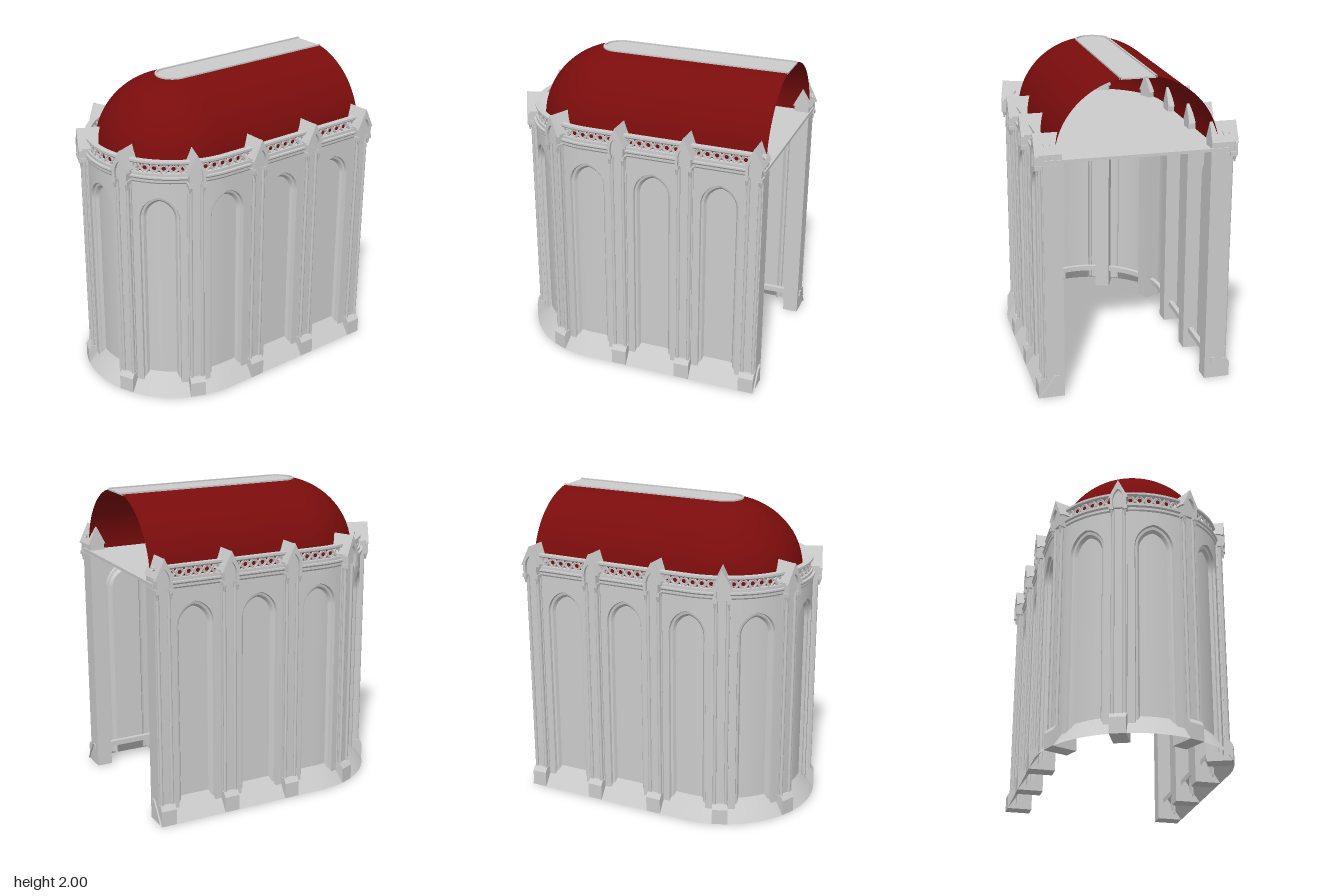
import * as THREE from 'three';
import { mergeGeometries } from 'three/addons/utils/BufferGeometryUtils.js';

const R = 0.56;               // radius of the U-shaped plan line
const ZC = 0.27;              // centre of the rounded end
const BAY = R * Math.PI / 4;  // bay length along the plan line
const END = 4.5 * BAY + 0.05;
const stone = new THREE.MeshStandardMaterial({ color: 0xcccccc, side: THREE.DoubleSide });
const red = new THREE.MeshStandardMaterial({ color: 0x7a0c0c, side: THREE.DoubleSide });

// Point at distance s along the plan, offset r from its axis, height y
function plan(s, r, y) {
  const a = s / R;
  if (Math.abs(a) <= Math.PI / 2) return new THREE.Vector3(Math.sin(a) * r, y, ZC + Math.cos(a) * r);
  return new THREE.Vector3(Math.sign(s) * r, y, ZC - (Math.abs(s) - R * Math.PI / 2));
}

// Smooth sheet of nu x nv cells
function grid(nu, nv, f) {
  const pos = [], index = [];
  for (let i = 0; i <= nu; i++) for (let j = 0; j <= nv; j++) pos.push(...f(i, j).toArray());
  for (let i = 0; i < nu; i++) for (let j = 0; j < nv; j++) {
    const a = i * (nv + 1) + j, b = a + nv + 1;
    index.push(a, b, b + 1, a, b + 1, a + 1);
  }
  const g = new THREE.BufferGeometry();
  g.setAttribute('position', new THREE.Float32BufferAttribute(pos, 3));
  g.setIndex(index);
  g.computeVertexNormals();
  return g;
}

// Sweep an [r, y] profile round the plan, sharp at each profile corner
function sweep(profile, end = END) {
  const n = 96;
  return mergeGeometries(profile.slice(1).map((q, k) => grid(n, 1, (i, j) => {
    const [r, y] = j ? q : profile[k];
    return plan(end * (2 * i / n - 1), r, y);
  })));
}

function add(group, name, geometry, material = stone) {
  const mesh = new THREE.Mesh(geometry, material);
  mesh.name = name;
  group.add(mesh);
  return mesh;
}

// Pointed arch height at s for half width w and apex height top
function archY(s, w, top) {
  const rad = 1.25 * w, h = x => Math.sqrt(Math.max(0, rad * rad - (x + rad - w) ** 2));
  return top - h(0) + h(Math.abs(s));
}
const ARCH = 24;
function outline(i, w, top) {
  if (i === 0 || i === ARCH + 2) return [i ? w : -w, 0.04];
  const s = -w * Math.cos(Math.PI * (i - 1) / ARCH);
  return [s, archY(s, w, top)];
}

const WALL = 0.565, WALL_TOP = 1.53;
function windowBay(c) {
  const g = new THREE.Group();
  g.name = 'windowBay';
  const w = 0.125, top = 1.4, half = BAY / 2;
  const side = k => grid(4, 1, (i, j) => plan(c + k * (w + (half - w) * i / 4), WALL, j ? WALL_TOP : 0.03));
  const above = grid(ARCH, 1, (i, j) => {
    const [s, y] = outline(i + 1, w, top);
    return plan(c + s, WALL, j ? WALL_TOP : y);
  });
  add(g, 'wall', mergeGeometries([side(1), side(-1), above]));
  // stepped and splayed surround: half width, apex, radius
  const bands = [[w, top, WALL], [0.121, 1.395, 0.549], [0.108, 1.377, 0.545], [0.096, 1.36, 0.525]];
  add(g, 'windowSurround', mergeGeometries(bands.slice(1).map((b, k) => grid(ARCH + 2, 1, (i, j) => {
    const [bw, bt, r] = j ? b : bands[k];
    const [s, y] = outline(i, bw, bt);
    return plan(c + s, r, y);
  }))));
  add(g, 'windowPane', grid(ARCH, 1, (i, j) => {
    const [s, y] = outline(i + 1, 0.096, 1.36);
    return plan(c + s, 0.525, j ? y : 0.1);
  }));
  // interlaced balustrade tracery
  const waves = [1, -1].map(k => {
    const pts = [];
    for (let i = 0; i <= 48; i++) {
      const t = i / 48;
      pts.push(plan(c + (t - 0.5) * 0.36, 0.545, 1.581 + k * 0.029 * Math.sin(t * Math.PI * 6)));
    }
    return new THREE.TubeGeometry(new THREE.CatmullRomCurve3(pts), 72, 0.007, 5);
  });
  add(g, 'balustradeTracery', mergeGeometries(waves));
  for (let k = -3; k < 3; k++) {
    const ring = add(g, 'balustradeRing', new THREE.TorusGeometry(0.017, 0.004, 4, 12));
    const s = c + (k + 0.5) * 0.06;
    ring.position.copy(plan(s, 0.545, 1.581));
    ring.rotation.y = THREE.MathUtils.clamp(s / R, -Math.PI / 2, Math.PI / 2);
  }
  return g;
}

const polygon = pts => new THREE.Shape(pts.map(p => new THREE.Vector2(...p)));
const extrude = (shape, depth) => new THREE.ExtrudeGeometry(shape, { depth, bevelEnabled: false, curveSegments: 8 });
function box(w, y0, y1, r0, r1, x = 0) {
  return new THREE.BoxGeometry(w, y1 - y0, r1 - r0).translate(x, (y0 + y1) / 2, (r0 + r1) / 2);
}

// Buttress: local z points outwards from the plan axis
function buttress(s) {
  const g = new THREE.Group();
  g.name = 'buttress';
  const foot = polygon([[0.455, 0], [0.62, 0], [0.62, 0.1], [0.6, 0.13], [0.455, 0.13]]);
  add(g, 'plinth', extrude(foot, 0.1).translate(0, 0, -0.05).rotateY(-Math.PI / 2));
  add(g, 'shaft', box(0.084, 0.1, 1.54, 0.455, 0.583));
  add(g, 'shaftFlank', box(0.1, 0.1, 1.5, 0.455, 0.572));
  for (const x of [-0.036, 0.036]) {
    add(g, 'colonnette', new THREE.CylinderGeometry(0.011, 0.011, 1.38, 8).translate(x, 0.8, 0.588));
    add(g, 'capital', box(0.028, 1.48, 1.505, 0.575, 0.62, x * 1.2));
    add(g, 'pendant', new THREE.CylinderGeometry(0.012, 0.004, 0.04, 6).translate(x * 1.2, 1.462, 0.605));
  }
  const head = polygon([[-0.048, 1.5], [0.048, 1.5], [0.048, 1.57], [0.06, 1.57], [0, 1.688], [-0.06, 1.57], [-0.048, 1.57]]);
  add(g, 'gabledHead', extrude(head, 0.145).translate(0, 0, 0.455));
  const frame = polygon([[0.034, 1.5], [0.05, 1.5], [0.05, 1.56], [0.064, 1.56], [0, 1.69],
    [-0.064, 1.56], [-0.05, 1.56], [-0.05, 1.5], [-0.034, 1.5], [-0.034, 1.555]]);
  frame.quadraticCurveTo(-0.03, 1.6, 0, 1.625);
  frame.quadraticCurveTo(0.03, 1.6, 0.034, 1.555);
  add(g, 'gableNiche', extrude(frame, 0.02).translate(0, 0, 0.6));
  g.position.copy(plan(s, 0, 0));
  g.rotation.y = THREE.MathUtils.clamp(s / R, -Math.PI / 2, Math.PI / 2);
  return g;
}

// Flat plan with a round front and square back, as a shape in x and -z
function stadium(r, back) {
  const shape = new THREE.Shape();
  shape.moveTo(r, -back);
  shape.lineTo(-r, -back);
  shape.lineTo(-r, -ZC);
  shape.absarc(0, -ZC, r, Math.PI, 2 * Math.PI, false);
  shape.lineTo(r, -back);
  return shape;
}
function slab(shape, y, depth) {
  return new THREE.ExtrudeGeometry(shape, { depth, bevelEnabled: false, curveSegments: 32 })
    .rotateX(-Math.PI / 2).translate(0, y, 0);
}

export function createModel() {
  const model = new THREE.Group();
  model.name = 'apse';

  // Walls, windows and buttresses
  for (let k = -4; k <= 4; k++) model.add(windowBay(k * BAY));
  for (let k = -4.5; k <= 4.5; k++) model.add(buttress(k * BAY));

  // Continuous mouldings
  add(model, 'slopingBase', sweep([[0.62, 0], [0.52, 0.145], [0.49, 0.145], [0.49, 0.11]], END + 0.01));
  add(model, 'cornice', sweep([[WALL, 1.49], [0.572, 1.5], [0.572, 1.515], [0.58, 1.525], [0.58, 1.535], [0.5, 1.535]]));
  add(model, 'lowerRail', sweep([[0.562, 1.535], [0.562, 1.553], [0.528, 1.553], [0.528, 1.535]]));
  add(model, 'upperRail', sweep([[0.557, 1.608], [0.564, 1.616], [0.564, 1.63], [0.526, 1.63], [0.526, 1.616], [0.533, 1.608], [0.557, 1.608]]));
  add(model, 'ceiling', slab(stadium(0.56, -0.885), 1.515, 0.018));

  // Vaulted roof, open at the back
  const rows = 20, t1 = Math.acos(0.105 / 0.5), vaultEnd = R * Math.PI / 2 + ZC + 0.87;
  add(model, 'vaultedRoof', grid(128, rows, (i, j) => {
    const t = t1 * j / rows;
    return plan(vaultEnd * (i / 64 - 1), 0.5 * Math.cos(t), 1.53 + 0.472 * Math.sin(t));
  }), red);

  // Ridge panel with a raised border
  add(model, 'ridgePanel', slab(stadium(0.104, -0.87), 1.982, 0.01));
  add(model, 'ridgeBorder', sweep([[0.112, 1.982], [0.112, 2], [0.1, 2], [0.1, 1.985]], vaultEnd));
  return model;
}
